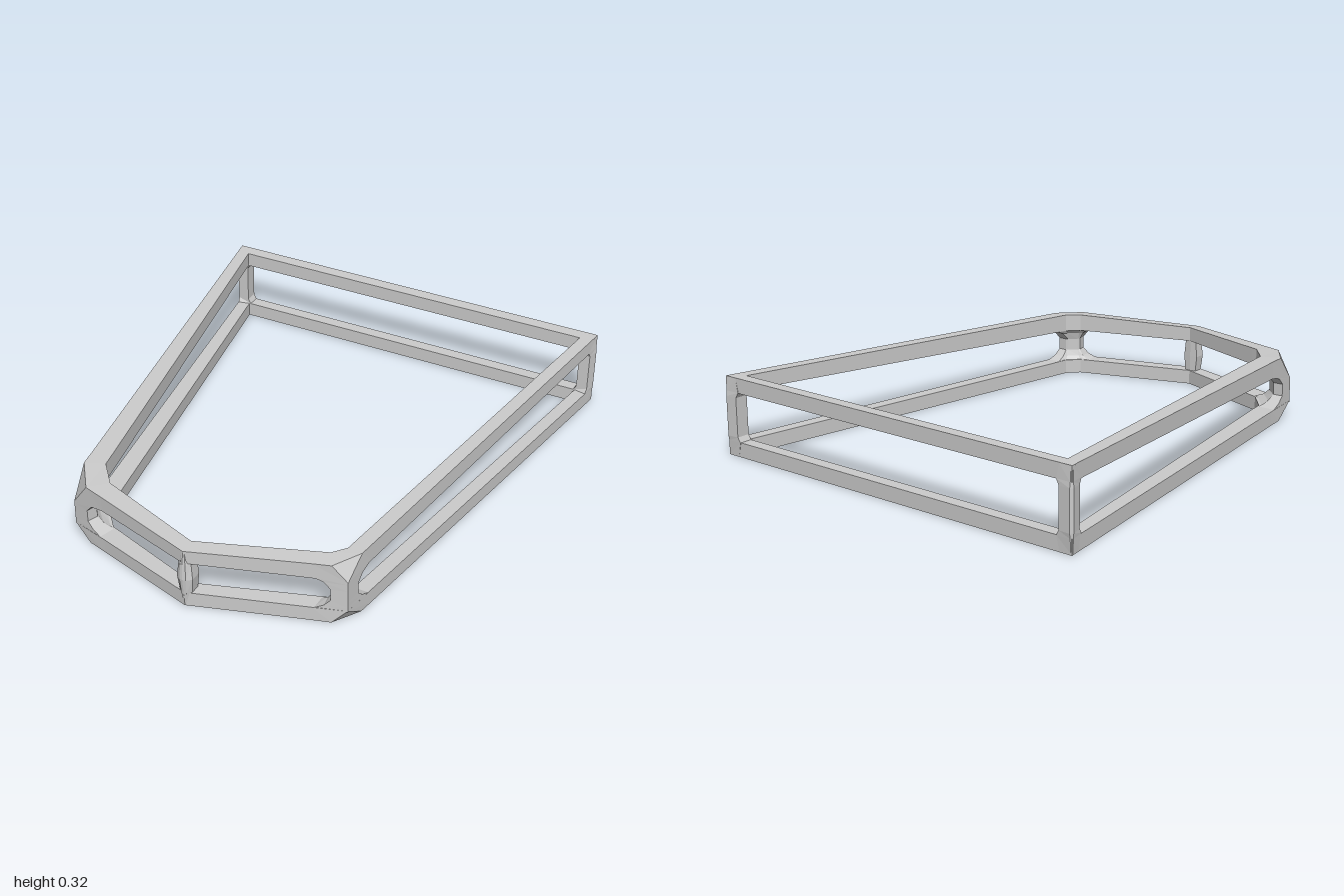
import * as THREE from 'three';

const material = new THREE.MeshStandardMaterial({
  color: 0xcccccc, flatShading: true, roughness: 0.8,
});

// Joins rings of [x, y, z] points into a solid, either closed on itself or capped.
function loft(name, rings, closed) {
  const pos = [];
  const n = rings[0].length;
  const count = closed ? rings.length : rings.length - 1;
  const tris = [];
  for (let i = 0; i < count; i++) {
    const a = rings[i];
    const b = rings[(i + 1) % rings.length];
    for (let j = 0; j < n; j++) {
      const k = (j + 1) % n;
      tris.push([a[j], b[j], b[k]], [a[j], b[k], a[k]]);
    }
  }
  if (!closed) {
    const first = rings[0];
    const last = rings[rings.length - 1];
    for (let j = 1; j < n - 1; j++) {
      tris.push([first[0], first[j], first[j + 1]], [last[0], last[j + 1], last[j]]);
    }
  }
  // The signed volume tells whether the faces must be turned outward.
  let volume = 0;
  const [A, B, C] = [0, 1, 2].map(() => new THREE.Vector3());
  for (const t of tris) {
    volume += A.fromArray(t[0]).dot(B.fromArray(t[1]).cross(C.fromArray(t[2])));
  }
  for (const t of tris) {
    const [p, q, r] = volume < 0 ? [t[0], t[2], t[1]] : t;
    pos.push(...p, ...q, ...r);
  }
  const geometry = new THREE.BufferGeometry();
  geometry.setAttribute('position', new THREE.Float32BufferAttribute(pos, 3));
  geometry.computeVertexNormals();
  const mesh = new THREE.Mesh(geometry, material);
  mesh.name = name;
  return mesh;
}

// Heights of the sloping upper rail.
const { lerp, clamp } = THREE.MathUtils;
const along = (z) => clamp((z + 0.99) / 1.74, 0, 1);
const topY = (z) => (z < 0.75 ? lerp(0.32, 0.268, along(z)) : lerp(0.268, 0.25, (z - 0.75) / 0.24));
const underY = (z) => lerp(0.26, 0.195, along(z));

// Plan stations: [chamfered outer x, z, inner x, z, pointed outer x, z, apex?]
const side = [
  [0.85, -0.99, 0.79, -0.938, 0.85, -0.99],
  [0.599, 0.66, 0.539, 0.66, 0.599, 0.66],
  [0.589, 0.725, 0.53, 0.72, 0.577, 0.813, true],
  [0.52, 0.832, 0.485, 0.77, 0.577, 0.813, true],
  [0.45, 0.852, 0.44, 0.785, 0.45, 0.852],
];
const otherSide = [
  [-0.85, -0.99, -0.79, -0.938, -0.85, -0.99],
  [-0.608, 0.64, -0.525, 0.645, -0.608, 0.64],
  [-0.599, 0.71, -0.52, 0.68, -0.584, 0.815, true],
  [-0.51, 0.835, -0.44, 0.775, -0.584, 0.815, true],
  [-0.43, 0.859, -0.41, 0.785, -0.43, 0.859],
];
const stations = [...side, [0, 0.99, 0, 0.928, 0, 0.99], ...otherSide.reverse()];

const upperRing = stations.map(([ox, oz, ix, iz, px, pz, apex]) => [
  [px, apex ? (px > 0 ? 0.19 : 0.16) : underY(pz), pz],
  [ox, topY(oz), oz],
  [ix, topY(iz), iz],
  [ix, underY(iz), iz],
]);
const lowerRing = stations.map(([ox, oz, ix, iz, px, pz]) => [
  [ox, 0, oz],
  [px, 0.06, pz],
  [ix, 0.06, iz],
  [ix, 0, iz],
]);

// Post blending from a wide foot to a narrow waist; points are [x, z].
function flaredPost(name, wide, narrow, apexTop) {
  const levels = [[0.055, 0], [0.075, 0.65], [0.1, 1], [0.15, 1], [0.18, 0.65], [0.2, 0]];
  return loft(name, levels.map(([y, t]) => wide.map((w, j) => [
    lerp(w[0], narrow[j][0], t),
    j === 0 ? Math.min(y, apexTop) : y,
    lerp(w[1], narrow[j][1], t),
  ])), false);
}

export function createModel() {
  const model = new THREE.Group();
  model.name = 'openFrame';
  model.add(loft('upperRail', upperRing, true), loft('lowerRail', lowerRing, true));

  // Front corner posts
  model.add(flaredPost('leftCornerPost',
    [[0.577, 0.813], [0.45, 0.85], [0.45, 0.785], [0.485, 0.771], [0.531, 0.72], [0.538, 0.67], [0.597, 0.67]],
    [[0.577, 0.813], [0.515, 0.83], [0.505, 0.79], [0.51, 0.78], [0.54, 0.75], [0.548, 0.745], [0.586, 0.745]],
    0.19));
  model.add(flaredPost('rightCornerPost',
    [[-0.584, 0.815], [-0.44, 0.855], [-0.42, 0.785], [-0.441, 0.776], [-0.521, 0.681], [-0.526, 0.65], [-0.605, 0.65]],
    [[-0.584, 0.815], [-0.515, 0.833], [-0.5, 0.79], [-0.505, 0.782], [-0.545, 0.745], [-0.552, 0.738], [-0.594, 0.74]],
    0.16));

  // Front centre post, swelling towards the middle
  const centreLevels = [[0.005, 0.012, 0.99], [0.06, 0.026, 0.995], [0.125, 0.033, 1], [0.19, 0.026, 0.995], [0.248, 0.012, 0.99]];
  model.add(loft('frontCentrePost', centreLevels.map(([y, w, z]) => [
    [0, y, z], [w * 0.4, y, z - 0.002], [w, y, z - 0.018], [w, y, 0.935],
    [0, y, 0.932], [-w, y, 0.935], [-w, y, z - 0.018], [-w * 0.4, y, z - 0.002],
  ]), false));

  // Back corner posts with slightly flared ends
  const backLevels = [[0.005, 0, 0], [0.06, 0.004, 0.012], [0.08, 0.007, 0], [0.24, 0.007, 0], [0.262, 0.004, 0.012], [0.317, 0, 0]];
  for (const s of [1, -1]) {
    model.add(loft(s > 0 ? 'leftBackPost' : 'rightBackPost', backLevels.map(([y, out, flare]) => [
      [s * (0.85 + out * 0.5), y, -0.985],
      [s * 0.845, y, -0.99 - out],
      [s * (0.795 - flare), y, -0.99 - out * 0.5],
      [s * (0.795 - flare), y, -0.938],
      [s * (0.842 - flare * 0.16), y, -0.938 + flare],
    ]), false));
  }
  return model;
}
